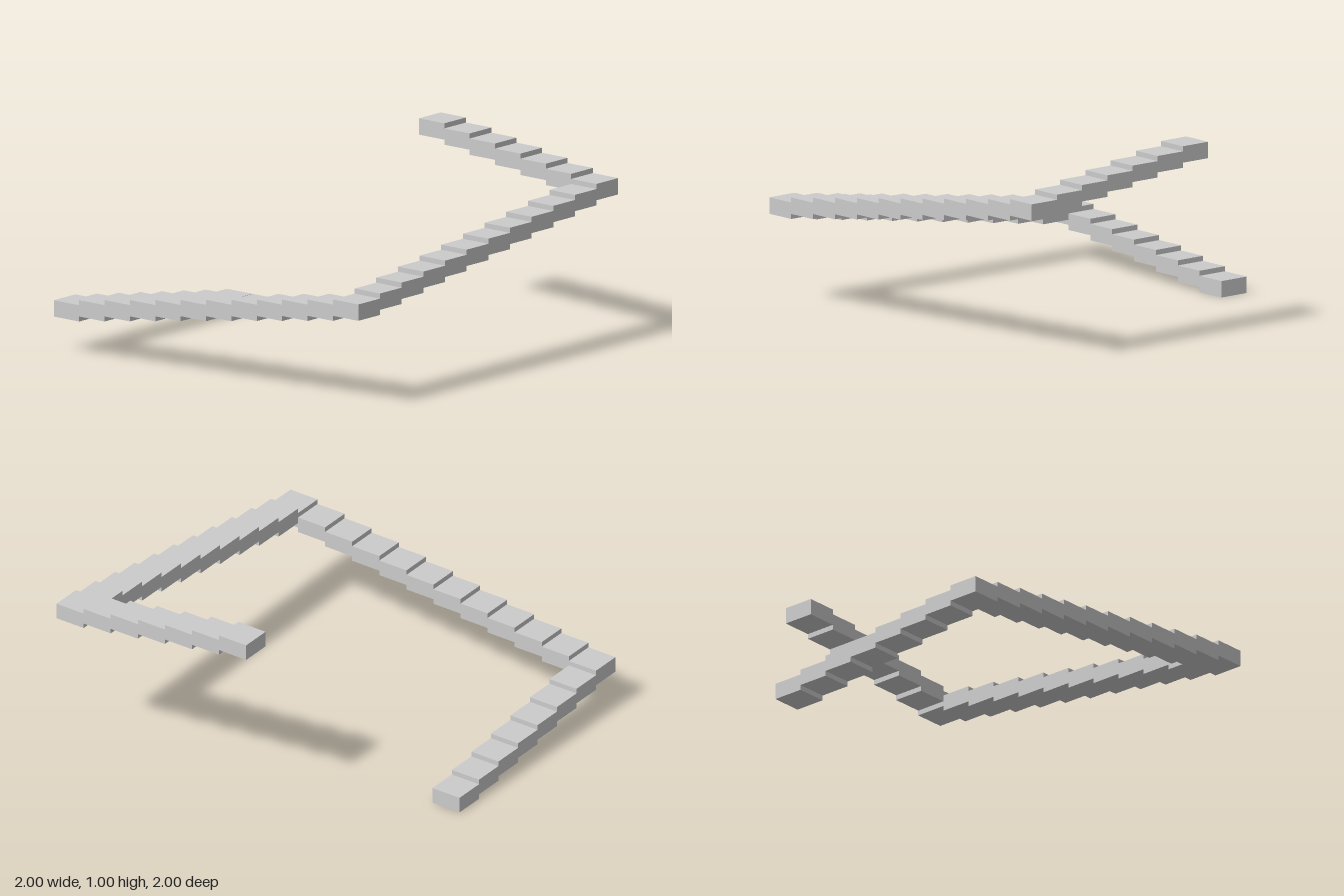
import * as THREE from 'three';

const CELL = 1 / 6;      // square tread
const THICK = 0.084;     // height of one step
const RISE = 0.0261;     // climb per step
const EDGE = 1 - CELL / 2;

export function createModel() {
  const group = new THREE.Group();
  group.name = 'squareSpiralStair';
  const material = new THREE.MeshStandardMaterial({ color: 0xcccccc, flatShading: true });
  const geometry = new THREE.BoxGeometry(CELL, THICK, CELL);

  // Flights: direction and number of moves, starting at the lowest step
  const flights = [
    { name: 'backFlight', dx: -1, dz: 0, moves: 7 },
    { name: 'rightFlight', dx: 0, dz: 1, moves: 11 },
    { name: 'frontFlight', dx: 1, dz: 0, moves: 11 },
    { name: 'leftFlight', dx: 0, dz: -1, moves: 6 },
  ];
  let x = -EDGE + 7 * CELL;
  let z = -EDGE;
  let count = 0;

  const addStep = (parent) => {
    const step = new THREE.Mesh(geometry, material);
    step.name = 'step' + (count + 1);
    step.position.set(x, THICK / 2 + count * RISE, z);
    parent.add(step);
    count++;
  };

  flights.forEach(({ name, dx, dz, moves }, f) => {
    const flight = new THREE.Group();
    flight.name = name;
    group.add(flight);
    if (f === 0) addStep(flight); // bottom step
    for (let i = 0; i < moves; i++) {
      x += dx * CELL;
      z += dz * CELL;
      addStep(flight);
    }
  });
  return group;
}
